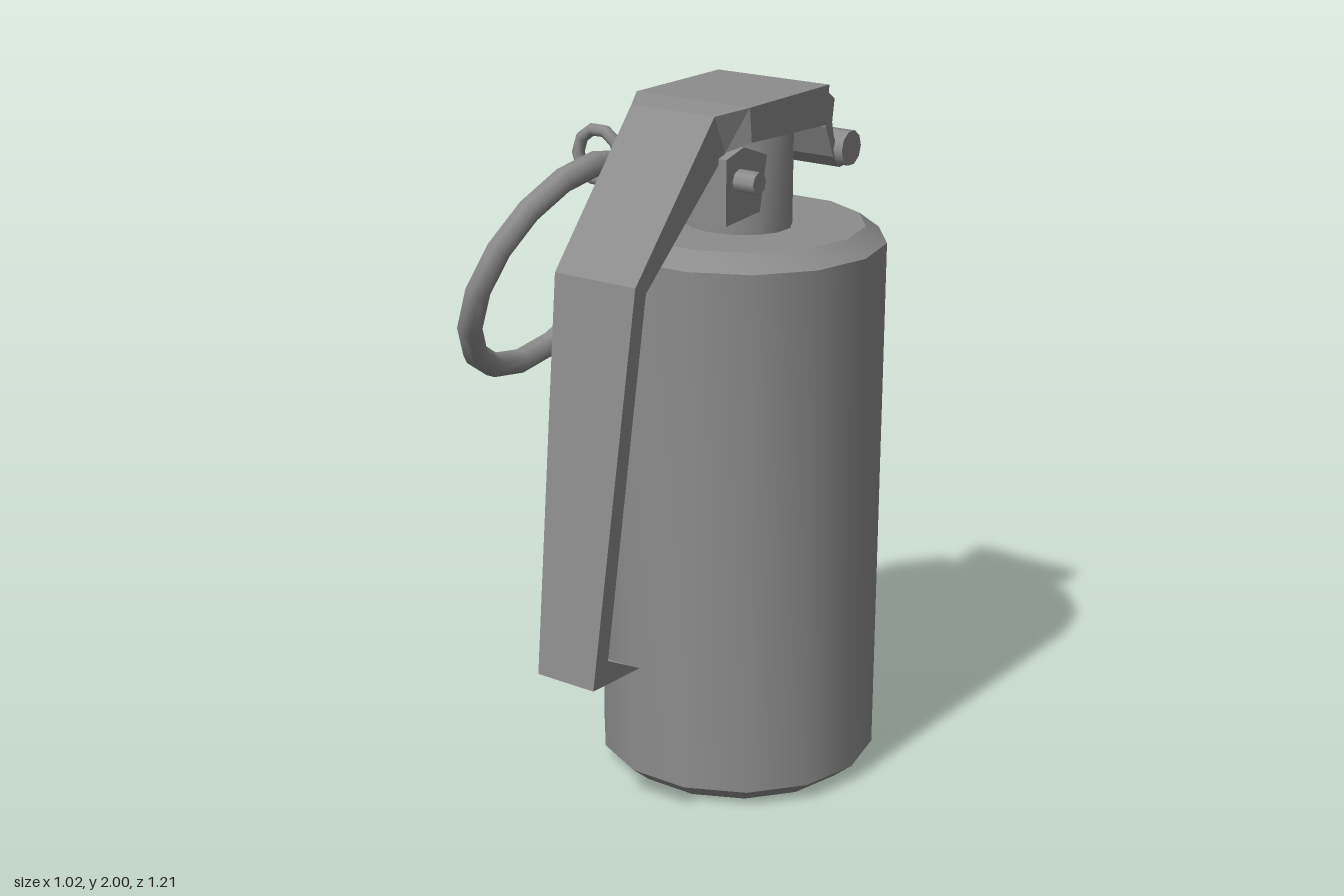
import * as THREE from 'three';
import { toCreasedNormals } from 'three/addons/utils/BufferGeometryUtils.js';

const CX = 0.105; // centre line of body, lever and hinge

export function createModel() {
  const group = new THREE.Group();
  const metal = new THREE.MeshStandardMaterial({ color: 0x8c8c8c });
  metal.name = 'grey metal';
  metal.side = THREE.DoubleSide;

  const add = (name, geometry, x = 0, y = 0, z = 0) => {
    const mesh = new THREE.Mesh(geometry, metal);
    mesh.name = name;
    mesh.position.set(x, y, z);
    group.add(mesh);
    return mesh;
  };

  // Solid from a side profile of [z, y] points, extruded along x about the centre line
  const sideExtrude = (points, width) => {
    const shape = new THREE.Shape(points.map(([z, y]) => new THREE.Vector2(-z, y)));
    return new THREE.ExtrudeGeometry(shape, { depth: width, bevelEnabled: false })
      .rotateY(Math.PI / 2)
      .translate(-width / 2, 0, 0);
  };

  // Round bar lying along x
  const bar = (radius, length, sides) =>
    toCreasedNormals(new THREE.CylinderGeometry(radius, radius, length, sides).rotateZ(Math.PI / 2), 0.9);

  // Fourteen-sided canister with chamfered rims
  const profile = [[0, 0], [0.345, 0], [0.405, 0.05], [0.405, 1.575], [0.345, 1.62], [0, 1.62]]
    .map(([r, y]) => new THREE.Vector2(r, y));
  const body = new THREE.LatheGeometry(profile, 14).rotateY(Math.PI / 2);
  add('body', toCreasedNormals(body, 0.6), CX, 0, -0.21);

  // Neck
  const neck = new THREE.CylinderGeometry(0.14, 0.14, 0.34, 14);
  add('neck', toCreasedNormals(neck, 0.6), CX, 1.77, -0.19).scale.x = 1.12;

  // Bracket that holds the pin
  add('pinBracket', sideExtrude(
    [[0.1, 1.69], [-0.06, 1.7], [-0.09, 1.85], [0.02, 1.89], [0.1, 1.87]], 0.32), CX);

  // Bent sheet lever: outer [z, y], flange edge [z, y], half width
  const sections = [
    [[-0.355, 2.0], [-0.345, 1.89], 0.185],
    [[0.03, 2.0], [0.02, 1.905], 0.185],
    [[0.12, 1.985], [0.07, 1.88], 0.135],
    [[0.46, 1.6], [0.415, 1.575], 0.131],
    [[0.605, 0.515], [0.54, 0.58], 0.094],
    [[0.4, 0.505], [0.402, 0.508], 0.092],
  ].map(([o, f, w]) => [[-w, f[1], f[0]], [-w, o[1], o[0]], [w, o[1], o[0]], [w, f[1], f[0]]]);
  const positions = [];
  for (let i = 0; i < sections.length - 1; i++) {
    for (let j = 0; j < 3; j++) {
      const a = sections[i][j], b = sections[i][j + 1];
      const c = sections[i + 1][j + 1], d = sections[i + 1][j];
      positions.push(...a, ...d, ...c, ...a, ...c, ...b);
    }
  }
  const lever = new THREE.BufferGeometry();
  lever.setAttribute('position', new THREE.Float32BufferAttribute(positions, 3));
  lever.computeVertexNormals();
  add('lever', lever, CX);

  // Curled rear plate and the hinge rod it holds
  add('hingePlate', sideExtrude([
    [-0.35, 1.985], [-0.355, 1.88], [-0.395, 1.79], [-0.43, 1.755], [-0.475, 1.76],
    [-0.475, 1.775], [-0.435, 1.78], [-0.395, 1.85], [-0.385, 1.89], [-0.395, 1.955],
  ], 0.355), CX);
  add('hingeRod', bar(0.05, 0.4, 10), 0.11, 1.81, -0.445);

  // Safety pin with its eye and pull ring
  add('pin', bar(0.031, 0.47, 8), 0.095, 1.805, 0.04);
  add('pinEye', new THREE.TorusGeometry(0.072, 0.018, 8, 10), -0.205, 1.81, 0.038);
  const ring = new THREE.TorusGeometry(0.342, 0.035, 8, 16).rotateY(Math.PI / 2).rotateZ(-0.432);
  add('pullRing', ring, -0.33, 1.485, 0.075);

  return group;
}
